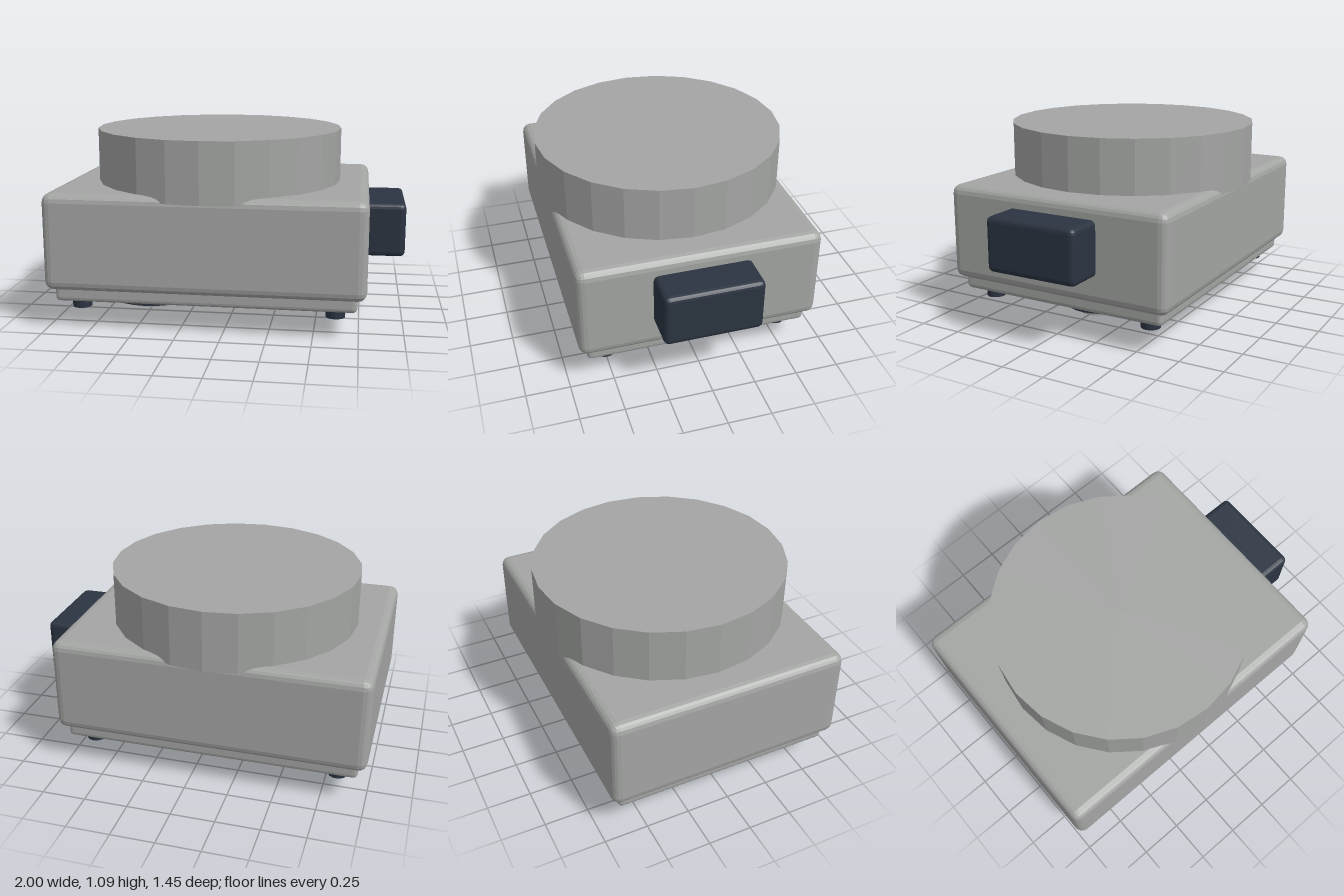
import * as THREE from 'three';
import { RoundedBoxGeometry } from 'three/addons/geometries/RoundedBoxGeometry.js';

export function createModel() {
  const model = new THREE.Group();
  const grey = new THREE.MeshStandardMaterial({ name: 'light grey', color: 0xa3a5a3, flatShading: true });
  const dark = new THREE.MeshStandardMaterial({ name: 'dark slate', color: 0x2b3441, flatShading: true });

  const add = (name, geometry, material, x, y, z = 0) => {
    const mesh = new THREE.Mesh(geometry, material);
    mesh.name = name;
    mesh.position.set(x, y, z);
    model.add(mesh);
  };
  // Box with softened edges, given by its extents
  const box = (name, material, x0, x1, y0, y1, halfZ, radius) =>
    add(name, new RoundedBoxGeometry(x1 - x0, y1 - y0, halfZ * 2, 2, radius),
      material, (x0 + x1) / 2, (y0 + y1) / 2);
  // Upright disc between two heights
  const disc = (name, material, x, z, r, y0, y1, sides = 24) =>
    add(name, new THREE.CylinderGeometry(r, r, y1 - y0, sides), material, x, (y0 + y1) / 2, z);

  const centre = -0.105;

  // Housing, base plate and side connector
  box('housing', grey, -1, 0.79, 0.23, 0.78, 0.69, 0.05);
  box('basePlate', grey, -0.95, 0.74, 0.157, 0.28, 0.64, 0.025);
  box('sideConnector', dark, 0.7, 1, 0.387, 0.695, 0.277, 0.03);

  // Large drum on top
  disc('topDrum', grey, centre, 0, 0.723, 0.745, 1.09);

  // Two ports underneath, each a dark collar around a grey plug
  for (const [name, x, collar, plug] of [['large', -0.52, 0.296, 0.2], ['small', 0.275, 0.206, 0.14]]) {
    disc(name + 'PortCollar', dark, x, 0, collar, 0.037, 0.18);
    disc(name + 'PortPlug', grey, x, 0, plug, 0, 0.1);
  }

  // Four corner feet
  for (const sx of [-1, 1]) {
    for (const sz of [-1, 1]) {
      disc('foot', dark, centre + sx * 0.725, sz * 0.517, 0.055, 0.1, 0.18, 16);
    }
  }
  return model;
}
